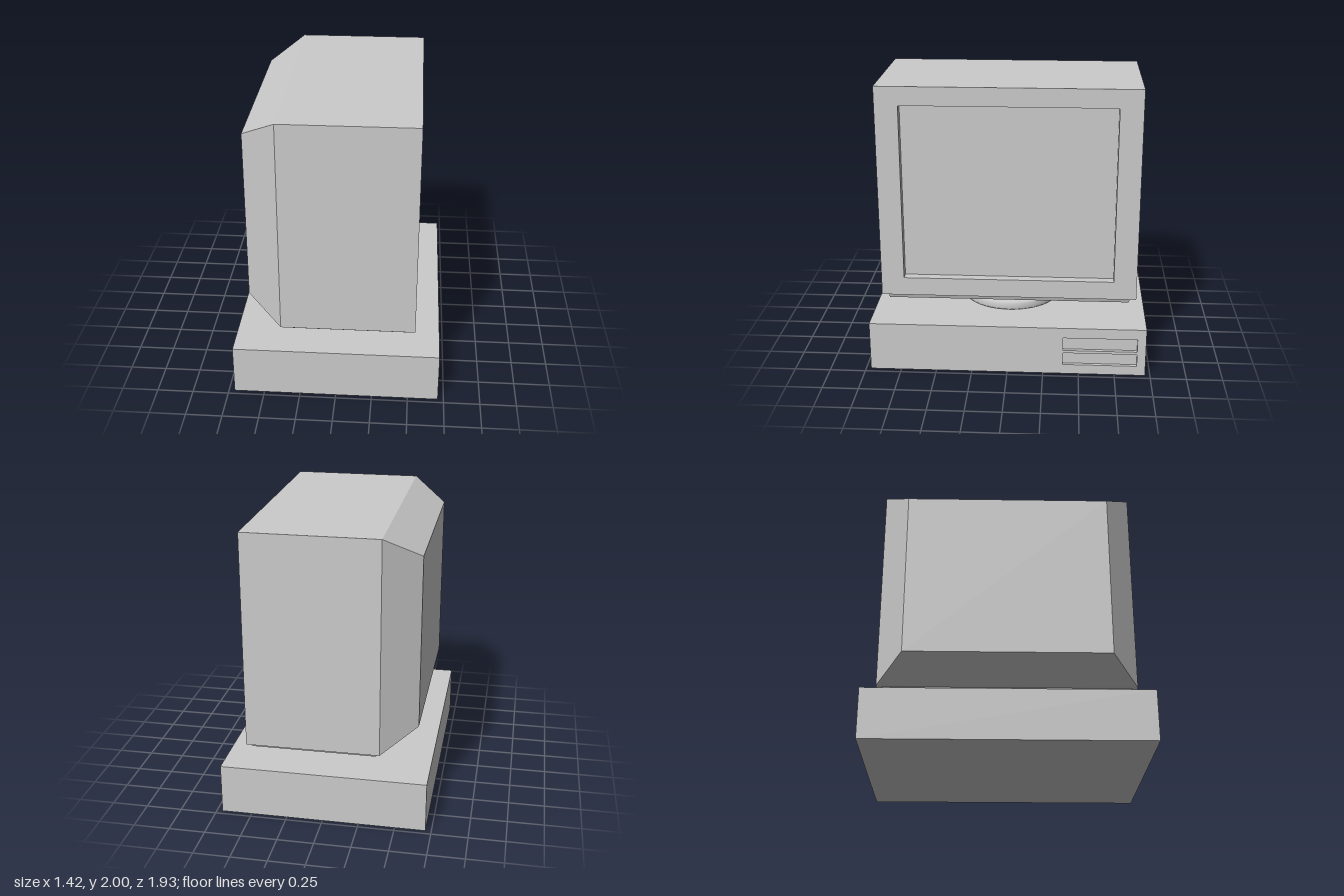
import * as THREE from 'three';

const material = new THREE.MeshStandardMaterial({ color: 0xcccccc });

function addMesh(parent, name, geometry, x = 0, y = 0, z = 0) {
  const mesh = new THREE.Mesh(geometry, material);
  mesh.name = name;
  mesh.position.set(x, y, z);
  parent.add(mesh);
  return mesh;
}

function rectPoints([x0, y0, x1, y1]) {
  return [[x0, y0], [x1, y0], [x1, y1], [x0, y1]].map(([x, y]) => new THREE.Vector2(x, y));
}

// Panel facing +x with rectangular openings; rectangles are [-z, y, -z, y]
function facePanel(outline, openings, depth) {
  const shape = new THREE.Shape(rectPoints(outline));
  for (const o of openings) shape.holes.push(new THREE.Path(rectPoints(o).reverse()));
  return new THREE.ExtrudeGeometry(shape, { depth, bevelEnabled: false }).rotateY(Math.PI / 2);
}

// Box whose vertices are moved by a rule, kept flat-sided
function shapedBox(w, h, d, rule) {
  const geometry = new THREE.BoxGeometry(w, h, d);
  const pos = geometry.attributes.position;
  const v = new THREE.Vector3();
  for (let i = 0; i < pos.count; i++) {
    rule(v.fromBufferAttribute(pos, i));
    pos.setXYZ(i, v.x, v.y, v.z);
  }
  geometry.computeVertexNormals();
  return geometry;
}

export function createModel() {
  const model = new THREE.Group();
  model.name = 'desktopComputer';

  // Computer case with two recessed drive bays on the +x face
  const computerCase = new THREE.Group();
  computerCase.name = 'computerCase';
  model.add(computerCase);
  const bayDepth = 0.025;
  addMesh(computerCase, 'caseBody', new THREE.BoxGeometry(1.42 - bayDepth, 0.35, 1.93), -bayDepth / 2, 0.175);
  addMesh(computerCase, 'driveBayPanel', facePanel([-0.965, 0, 0.965, 0.35],
    [[0.39, 0.07, 0.905, 0.16], [0.39, 0.18, 0.905, 0.275]], bayDepth), 0.71 - bayDepth);

  // Round swivel stand in two steps with softened rims
  const swivelProfile = [
    [0, 0.35], [0.35, 0.35], [0.354, 0.36], [0.354, 0.395], [0.345, 0.408],
    [0.28, 0.41], [0.283, 0.42], [0.283, 0.468], [0, 0.468],
  ].map(([r, y]) => new THREE.Vector2(r, y));
  addMesh(model, 'swivelStand', new THREE.LatheGeometry(swivelProfile, 48), 0.08);

  // Monitor housing
  const monitor = new THREE.Group();
  monitor.name = 'monitor';
  model.add(monitor);
  const screenDepth = 0.065;
  addMesh(monitor, 'monitorFoot', shapedBox(0.88, 0.035, 1.71, (v) => {
    if (v.y < 0) { v.x *= 0.975; v.z *= 0.988; }
  }), 0.08, 0.4825);
  addMesh(monitor, 'monitorBody', new THREE.BoxGeometry(0.92 - screenDepth, 1.5, 1.79), 0.08 - screenDepth / 2, 1.25);
  addMesh(monitor, 'screenBezel', facePanel([-0.895, 0.5, 0.895, 2],
    [[-0.735, 0.63, 0.735, 1.87]], screenDepth), 0.54 - screenDepth);
  // Rear cover tapers towards -x
  addMesh(monitor, 'rearCover', shapedBox(0.24, 1.5, 1.79, (v) => {
    if (v.x < 0) { v.y *= 0.8; v.z *= 0.793; }
  }), -0.5, 1.25);

  return model;
}
